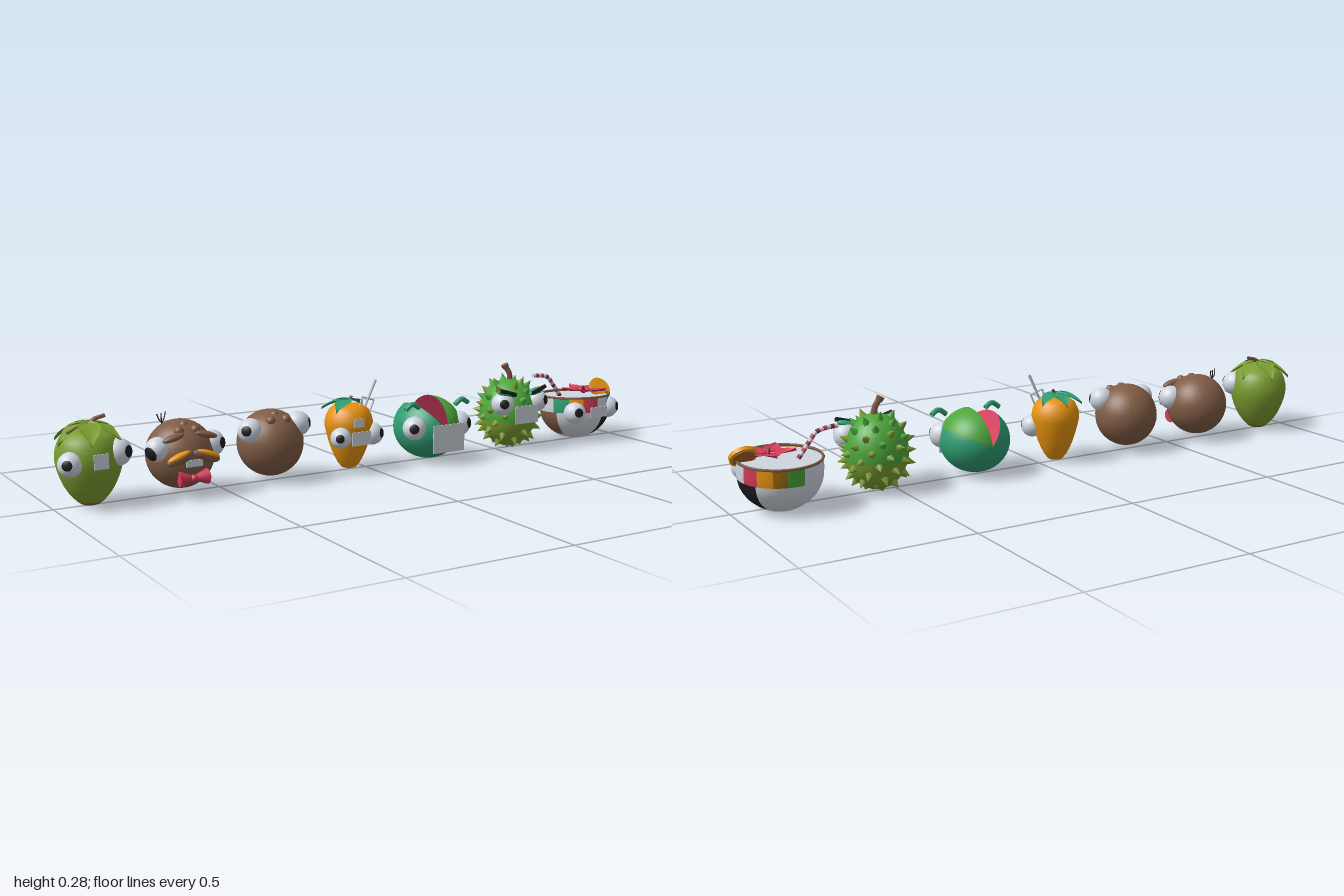
import * as THREE from 'three';

const V = (x, y, z) => new THREE.Vector3(x, y, z);
const RAD = Math.PI / 180;

export function createModel() {
  const colours = {
    white: 0xd0d6e0, black: 0x1c1c1e, brown: 0x805c45, orange: 0xe8940f, green: 0x4ca63c,
    olive: 0x7a9c30, teal: 0x2f9c70, red: 0xd23c58, crimson: 0x8c2440, ochre: 0xa06a12,
  };
  const m = {}, root = new THREE.Group();
  root.name = 'fruitRow';
  for (const [name, color] of Object.entries(colours)) {
    m[name] = new THREE.MeshStandardMaterial({ color, side: THREE.DoubleSide });
    m[name].name = name;
  }

  // --- helpers ---
  const group = (name, x, y = 0, z = 0, parent = root) => {
    const g = new THREE.Group();
    g.name = name;
    g.position.set(x, y, z);
    parent.add(g);
    return g;
  };
  const add = (g, name, geo, mat, x = 0, y = 0, z = 0) => {
    const mesh = new THREE.Mesh(geo, m[mat]);
    mesh.name = name;
    mesh.position.set(x, y, z);
    g.add(mesh);
    return mesh;
  };
  const ball = (g, name, mat, x, y, z, rx, ry = rx, rz = rx) => {
    const b = add(g, name, new THREE.SphereGeometry(1, 28, 20), mat, x, y, z);
    b.scale.set(rx, ry, rz);
    return b;
  };
  const tube = (g, name, mat, r, ...pts) =>
    add(g, name, new THREE.TubeGeometry(new THREE.CatmullRomCurve3(pts), 10, r, 7), mat);
  // solid straight rod between two points, optionally tapered
  const rod = (g, name, mat, a, b, r0, r1 = r0, sides = 8) => {
    const d = b.clone().sub(a);
    const mid = a.clone().add(b).multiplyScalar(0.5);
    const c = add(g, name, new THREE.CylinderGeometry(r1, r0, d.length(), sides), mat, mid.x, mid.y, mid.z);
    c.quaternion.setFromUnitVectors(V(0, 1, 0), d.normalize());
    return c;
  };
  // slice of a turned body, t along the profile and phi around it in degrees
  const turned = (g, name, mat, profile, t0 = 0, t1 = 1, p0 = 0, p1 = 360) => {
    const s = new THREE.SplineCurve(profile.map(([r, y]) => new THREE.Vector2(r, y)));
    const pts = [];
    for (let i = 0; i <= 14; i++) {
      const p = s.getPoint(t0 + (t1 - t0) * i / 14);
      pts.push(new THREE.Vector2(Math.max(p.x, 0), p.y));
    }
    return add(g, name, new THREE.LatheGeometry(pts, Math.max(3, Math.round((p1 - p0) / 11)), p0 * RAD, (p1 - p0) * RAD), mat);
  };
  // eyeball with a round pupil cap looking along (dx, dy, dz)
  const eye = (g, x, y, z, r, dx, dy = 0.1, dz = 0.75, size = 0.42) => {
    const e = group(x < 0 ? 'rightEye' : 'leftEye', x, y, z, g);
    ball(e, 'eyeball', 'white', 0, 0, 0, r);
    const dir = V(dx, dy, dz).normalize();
    const cap = new THREE.SphereGeometry(r * 1.03, 18, 6, 0, Math.PI * 2, 0, size);
    add(e, 'pupil', cap, 'black').quaternion.setFromUnitVectors(V(0, 1, 0), dir);
  };
  // pointed leaf running outward along the yaw direction and drooping
  const leaf = (g, name, mat, len, width, droop, yaw, x = 0, y = 0, z = 0) => {
    const geo = new THREE.PlaneGeometry(1, 1, 10, 2).rotateX(-Math.PI / 2).translate(0.5, 0, 0);
    const p = geo.attributes.position;
    for (let i = 0; i < p.count; i++) {
      const t = p.getX(i), w = p.getZ(i);
      p.setXYZ(i, t * len, Math.abs(w) * width * 0.3 - droop * t * t, w * width * Math.sin(Math.PI * Math.pow(t, 0.8)));
    }
    geo.computeVertexNormals();
    add(g, name, geo, mat, x, y, z).rotation.y = yaw;
  };
  const plate = (g, name, x, y, z, w, h) => add(g, name, new THREE.BoxGeometry(w, h, 0.003), 'white', x, y, z);

  // --- green fruit with leafy cap ---
  const lime = group('greenFruit', -0.893);
  const limeShape = [[0, 0.008], [0.03, 0.014], [0.066, 0.055], [0.09, 0.115], [0.092, 0.165], [0.068, 0.212], [0, 0.23]];
  turned(lime, 'bottomCap', 'brown', limeShape, 0, 0.2);
  turned(lime, 'body', 'olive', limeShape, 0.2, 1);
  for (let i = 0; i < 6; i++) leaf(lime, 'capLeaf', 'olive', 0.1, 0.062, 0.05, i * Math.PI / 3 + 0.3, 0, 0.235, 0);
  tube(lime, 'stem', 'brown', 0.006, V(0, 0.225, 0), V(0.015, 0.245, 0), V(0.05, 0.255, 0));
  tube(lime, 'twig', 'brown', 0.004, V(0, 0.235, 0), V(-0.03, 0.232, 0.01), V(-0.065, 0.218, 0.015));
  plate(lime, 'tooth', 0, 0.148, 0.1, 0.042, 0.042);
  eye(lime, -0.072, 0.14, 0.055, 0.035, -0.5);
  eye(lime, 0.065, 0.16, 0.05, 0.04, 0.5);

  // --- two coconuts ---
  const coconut = (name, x) => {
    const g = group(name, x);
    ball(g, 'shell', 'brown', 0, 0.122, 0, 0.1, 0.1, 0.1);
    for (const [bx, by, bz] of [[-0.025, 0.198, 0.055], [0.025, 0.198, 0.055], [0, 0.208, 0.03]])
      ball(g, 'shellSpot', 'brown', bx, by, bz, 0.014);
    return g;
  };
  const dapper = coconut('moustacheCoconut', -0.622);
  eye(dapper, -0.085, 0.15, 0.04, 0.035, -0.8, -0.3, 0.35, 0.65);
  eye(dapper, 0.085, 0.148, 0.03, 0.039, 0.6);
  for (const s of [-1, 1]) {
    ball(dapper, 'moustache', 'brown', s * 0.04, 0.128, 0.095, 0.043, 0.016, 0.015).rotation.z = -s * 0.35;
    ball(dapper, 'moustacheTop', 'orange', s * 0.045, 0.135, 0.098, 0.036, 0.009, 0.013).rotation.z = -s * 0.35;
    ball(dapper, 'eyebrow', 'brown', s * 0.05, 0.185, 0.075, 0.034, 0.01, 0.014).rotation.z = -s * 0.25;
    rod(dapper, 'bowTie', 'red', V(0, 0.068, 0.095), V(s * 0.042, 0.068, 0.088), 0.006, 0.024, 10);
    }
  ball(dapper, 'bowKnot', 'red', 0, 0.068, 0.097, 0.011);
  plate(dapper, 'teeth', 0, 0.112, 0.101, 0.05, 0.02);
  for (let i = -1; i <= 1; i++)
    tube(dapper, 'hair', 'black', 0.0018, V(-0.04, 0.208, -0.03), V(-0.042 + i * 0.008, 0.222, -0.03), V(-0.042 + i * 0.018, 0.238, -0.03 - i * 0.012));
  const plain = coconut('plainCoconut', -0.332);
  eye(plain, -0.08, 0.17, 0.03, 0.037, -0.7, 0.15, 0.7);
  eye(plain, 0.077, 0.176, 0.03, 0.038, 0.8, 0.1, 0.55);

  // --- orange mango with leaves and a little fork ---
  const mango = group('mango', -0.06);
  turned(mango, 'body', 'orange', [[0, 0.01], [0.026, 0.018], [0.052, 0.065], [0.07, 0.125], [0.074, 0.165], [0.052, 0.205], [0, 0.214]]);
  [[2.4, 0.085], [1.5, 0.08], [3.7, 0.08], [0.4, 0.07]].forEach(([a, l]) => leaf(mango, 'topLeaf', 'teal', l, 0.05, 0.03, a, 0, 0.222, 0));
  tube(mango, 'stem', 'brown', 0.005, V(0, 0.21, 0), V(0.003, 0.225, 0), V(0.01, 0.235, 0));
  rod(mango, 'forkHandle', 'white', V(0.04, 0.205, 0.03), V(0.076, 0.285, 0.033), 0.004, 0.005);
  rod(mango, 'forkBar', 'white', V(0.03, 0.235, 0.03), V(0.072, 0.222, 0.03), 0.003);
  rod(mango, 'forkTine', 'white', V(0.03, 0.235, 0.03), V(0.02, 0.2, 0.03), 0.003);
  rod(mango, 'forkTine', 'white', V(0.072, 0.222, 0.03), V(0.058, 0.19, 0.03), 0.003);
  plate(mango, 'upperTooth', -0.008, 0.165, 0.077, 0.035, 0.026);
  plate(mango, 'mouth', 0, 0.116, 0.077, 0.065, 0.042);
  eye(mango, -0.06, 0.12, 0.055, 0.032, -0.5);
  eye(mango, 0.06, 0.12, 0.04, 0.035, 0.5);

  // --- melon with a wedge cut out along its length ---
  const melon = group('melon', 0.225);
  const rind = group('rind', 0, 0.113, 0.01, melon);
  rind.scale.set(0.107, 0.1, 0.113);
  const segment = (name, mat, a0, a1) => add(rind, name,
    new THREE.SphereGeometry(1, 24, 20, (a0 - 180) * RAD, (a1 - a0) * RAD).rotateX(Math.PI / 2), mat);
  segment('paleRind', 'green', 25, 83);
  segment('darkRind', 'teal', 126, 385);
  for (const a of [83, 126])
    add(rind, 'flesh', new THREE.CircleGeometry(1, 24, -Math.PI / 2, Math.PI).rotateX(Math.PI / 2).rotateZ(a * RAD), a > 100 ? 'red' : 'crimson');
  plate(melon, 'mouth', 0.002, 0.095, 0.128, 0.116, 0.088);
  for (const s of [-1, 1]) {
    const x = s * 0.083 - 0.004;
    eye(melon, x, 0.125, 0.068, s > 0 ? 0.04 : 0.037, s * 0.5);
    tube(melon, 'eyebrow', 'teal', 0.008, V(x - 0.025, 0.187, 0.07), V(x, 0.203, 0.072), V(x + 0.025, 0.19, 0.07)).position.x = s * 0.01;
  }

  // --- spiky fruit ---
  const spiky = group('spikyFruit', 0.555);
  const rx = 0.094, ry = 0.112, cy = 0.125;
  const spikyHalf = (name, mat, t0, t1) =>
    add(spiky, name, new THREE.SphereGeometry(1, 28, 12, 0, Math.PI * 2, t0, t1), mat, 0, cy, 0).scale.set(rx, ry, rx);
  spikyHalf('upperBody', 'green', 0, 1.75);
  spikyHalf('lowerBody', 'olive', 1.75, Math.PI - 1.75);
  for (let i = 0; i < 72; i++) {
    const y = 1 - (2 * i + 1) / 72, r = Math.sqrt(1 - y * y), a = i * 2.39996;
    const n = V(r * Math.cos(a), y, r * Math.sin(a));
    if (i < 2 || n.z > 0.8 && Math.abs(y) < 0.35) continue;
    const p = V(n.x * rx, cy + n.y * ry, n.z * rx);
    const tip = p.clone().addScaledVector(n, y < -0.8 ? 0.008 : 0.024);
    rod(spiky, 'spike', y > 0.3 && i % 3 ? 'green' : 'olive', p.addScaledVector(n, -0.004), tip, 0.013, 0, 6);
  }
  tube(spiky, 'stem', 'brown', 0.009, V(0.004, 0.23, 0), V(0, 0.255, 0.002), V(-0.012, 0.278, -0.003));
  rod(spiky, 'stemEnd', 'brown', V(-0.01, 0.272, -0.002), V(-0.016, 0.285, -0.004), 0.01, 0.013);
  plate(spiky, 'mouth', 0, 0.133, 0.1, 0.09, 0.058);
  for (const s of [-1, 1]) {
    eye(spiky, s * 0.068, 0.168, 0.06, 0.037, s * 0.4);
    ball(spiky, 'eyelid', 'teal', s * 0.062, 0.2, 0.066, 0.03, 0.01, 0.02).rotation.z = s * 0.3;
    rod(spiky, 'eyebrow', 'black', V(s * 0.035, 0.198, 0.085), V(s * 0.09, 0.215, 0.078), 0.007);
  }

  // --- patchwork bowl with flower, slice and straw ---
  const bowl = group('bowl', 0.857, 0, -0.015);
  const cup = group('cup', 0, 0, 0, bowl);
  cup.rotation.x = -0.05;
  const cupShape = [[0, 0.008], [0.045, 0.012], [0.088, 0.04], [0.112, 0.075], [0.12, 0.112], [0.12, 0.155]];
  turned(cup, 'base', 'white', cupShape, 0, 0.3);
  const ring = (t0, t1, list) => list.forEach(([mat, from, to]) => turned(cup, mat + 'Patch', mat, cupShape, t0, t1, from, to));
  ring(0.3, 0.76, [['white', 0, 12], ['black', 12, 125], ['white', 125, 245], ['brown', 245, 290], ['white', 290, 360]]);
  ring(0.76, 1, [['white', 0, 25], ['teal', 25, 70], ['white', 70, 105], ['red', 105, 128], ['orange', 128, 150], ['ochre', 150, 168],
    ['green', 168, 192], ['white', 192, 285], ['teal', 285, 312], ['orange', 312, 335], ['red', 335, 360]]);
  add(cup, 'filling', new THREE.CircleGeometry(0.118, 36).rotateX(-Math.PI / 2), 'white', 0, 0.15, 0);
  add(cup, 'rim', new THREE.TorusGeometry(0.119, 0.004, 6, 36).rotateX(Math.PI / 2), 'brown', 0, 0.155, 0);
  plate(bowl, 'mouth', 0, 0.112, 0.122, 0.07, 0.035);
  eye(bowl, -0.07, 0.11, 0.08, 0.037, -0.2);
  eye(bowl, 0.073, 0.118, 0.08, 0.037, 0.45);
  for (let i = 0; i < 5; i++) leaf(bowl, 'petal', 'red', 0.078, 0.055, -0.008, i * Math.PI * 0.4 + 0.3, 0.03, 0.163, 0.005);
  rod(bowl, 'pistil', 'crimson', V(0.03, 0.16, 0.005), V(0.024, 0.182, 0.01), 0.007, 0.004);
  // citrus slice perched on the edge
  const slice = group('citrusSlice', 0.1, 0.168, 0.008, bowl);
  slice.rotation.x = 0.87;
  add(slice, 'peel', new THREE.CylinderGeometry(0.039, 0.039, 0.012, 28), 'orange');
  for (const s of [-1, 1])
    add(slice, 'pulp', new THREE.CylinderGeometry(0.031, 0.031, 0.002, 28), s > 0 ? 'orange' : 'ochre', 0, s * 0.0065, 0);
  // striped bent straw
  const straw = new THREE.CatmullRomCurve3([V(-0.045, 0.15, -0.03), V(-0.08, 0.195, -0.03), V(-0.098, 0.217, -0.03), V(-0.125, 0.226, -0.03), V(-0.165, 0.229, -0.03)]);
  for (let i = 0; i < 14; i++)
    rod(bowl, 'strawBand', i % 2 ? 'white' : i % 4 ? 'red' : 'crimson', straw.getPointAt(i / 14), straw.getPointAt((i + 1) / 14), 0.007);

  return root;
}
